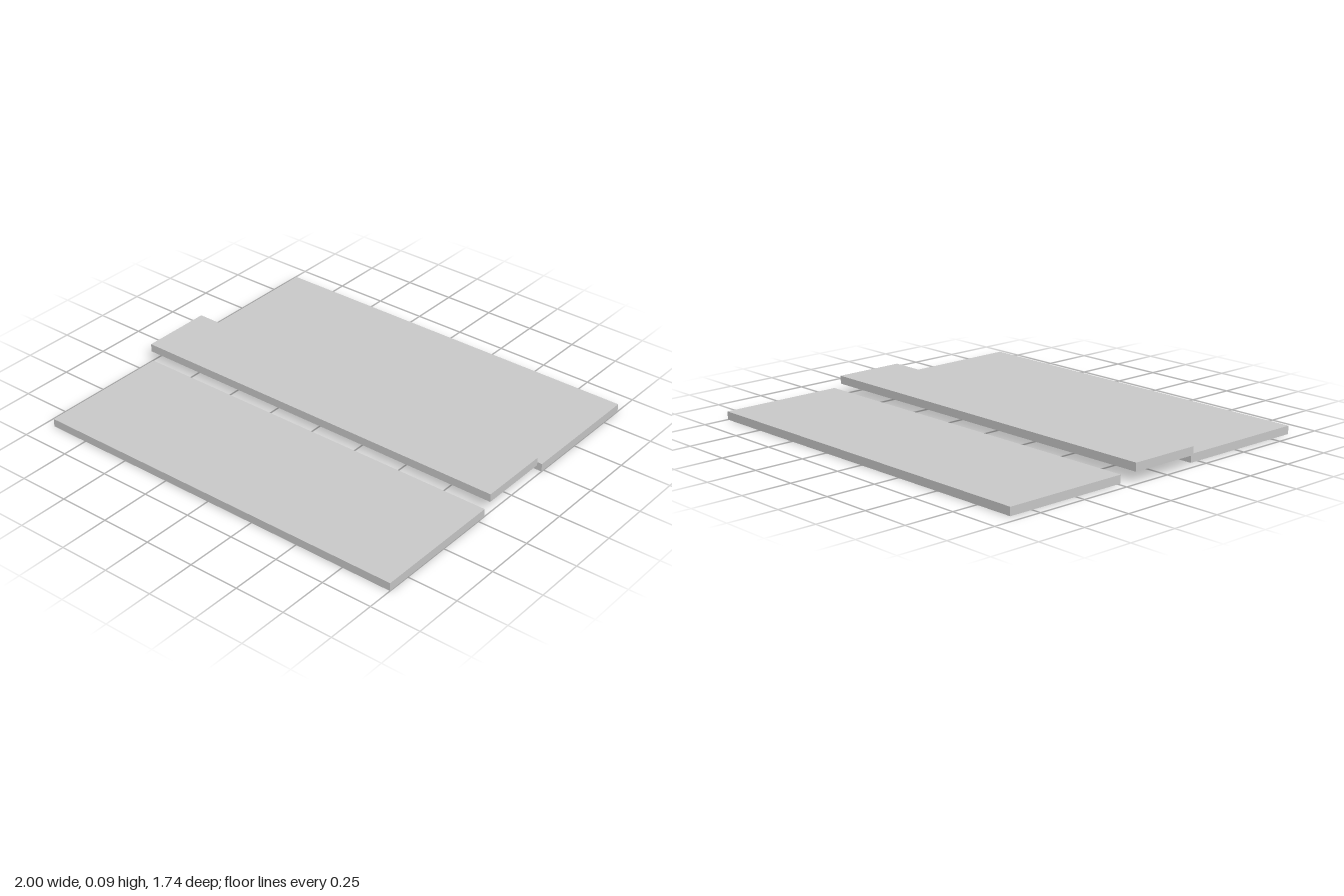
import * as THREE from 'three';

// Each board: [name, min x, bottom y, back z, front z]; all end flush at x = 1
const BOARDS = [
  ['backBoard', -0.95, 0, -0.87, -0.235],
  ['raisedMiddleBoard', -1, 0.055, -0.195, 0.165],
  ['frontBoard', -0.95, 0, 0.205, 0.87],
];
const THICKNESS = 0.04;

export function createModel() {
  const group = new THREE.Group();
  group.name = 'boards';
  const material = new THREE.MeshStandardMaterial({ color: 0xcccccc, flatShading: true });

  for (const [name, x0, y0, z0, z1] of BOARDS) {
    const board = new THREE.Mesh(new THREE.BoxGeometry(1 - x0, THICKNESS, z1 - z0), material);
    board.name = name;
    board.position.set((1 + x0) / 2, y0 + THICKNESS / 2, (z0 + z1) / 2);
    group.add(board);
  }
  return group;
}
